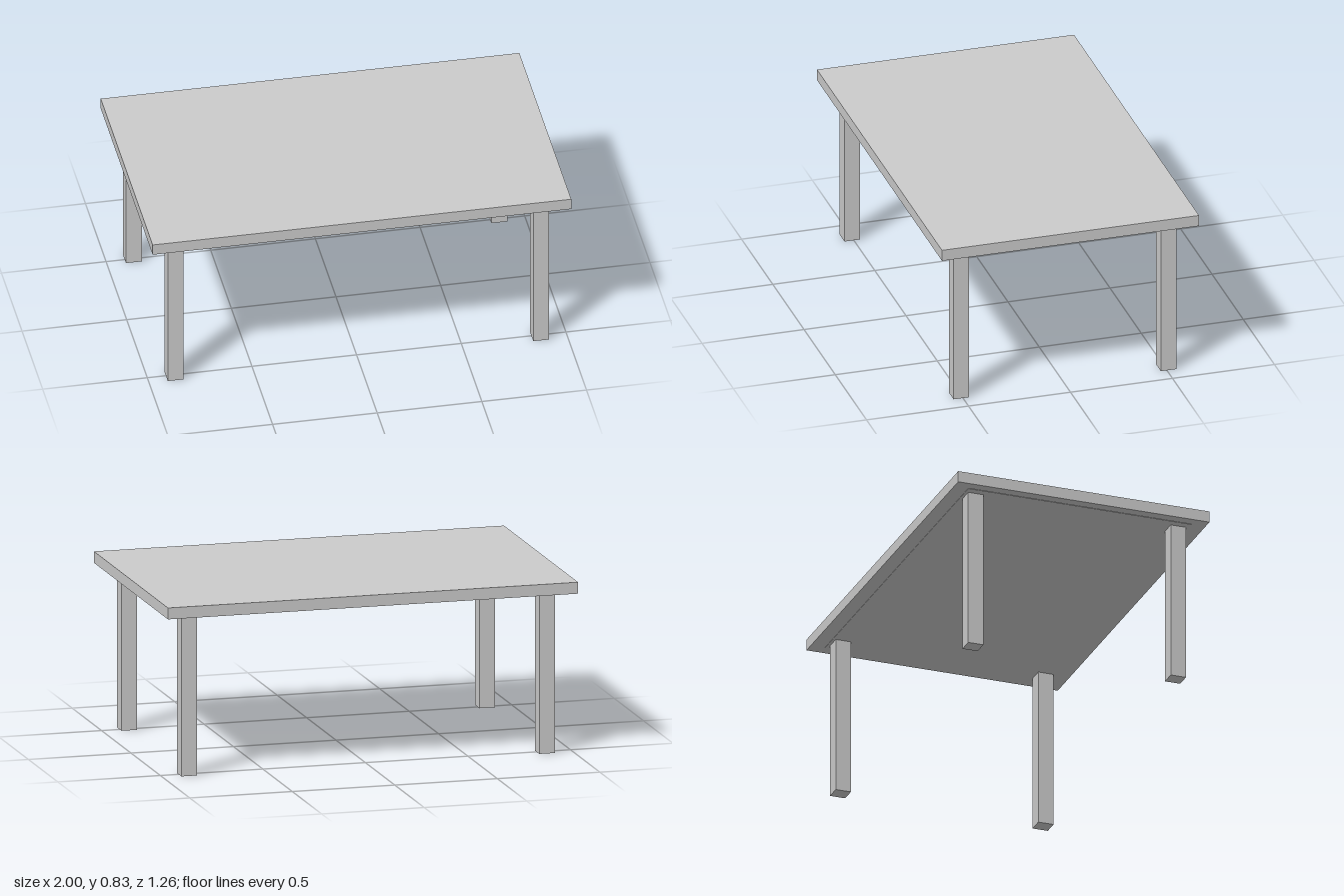
import * as THREE from 'three';

export function createModel() {
  const table = new THREE.Group();
  table.name = 'table';
  const material = new THREE.MeshStandardMaterial({ color: 0xcccccc, flatShading: true });

  const topY = 0.833, underY = 0.778;
  const legWidth = 0.076, legX = 0.873, legZ = 0.508;

  // Adds a box spanning the heights y0 to y1
  function addBox(name, width, depth, y0, y1, x = 0, z = 0) {
    const mesh = new THREE.Mesh(new THREE.BoxGeometry(width, y1 - y0, depth), material);
    mesh.name = name;
    mesh.position.set(x, (y0 + y1) / 2, z);
    table.add(mesh);
  }

  // Table top with a very thin panel under it
  addBox('tableTop', 2, 1.26, underY, topY);
  addBox('undersidePanel', 1.9, 1.12, underY - 0.002, underY + 0.01);

  // Four square legs, one set in from each corner
  for (const [side, sx] of [['Left', 1], ['Right', -1]]) {
    for (const [end, sz] of [['front', 1], ['back', -1]]) {
      addBox(`${end}${side}Leg`, legWidth, legWidth, 0, underY, sx * legX, sz * legZ);
    }
  }
  return table;
}
